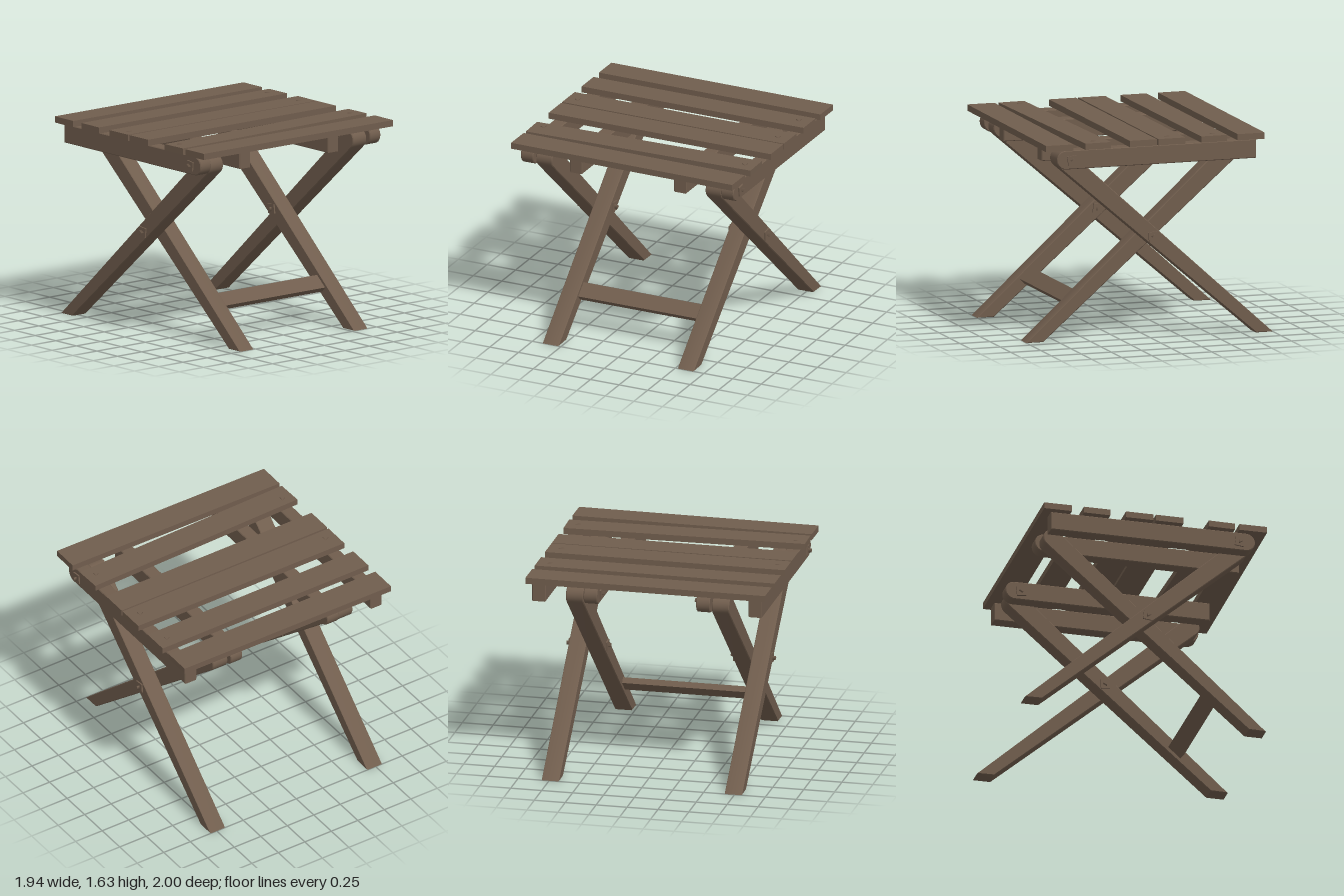
import * as THREE from 'three';
import { toCreasedNormals } from 'three/addons/utils/BufferGeometryUtils.js';

const wood = new THREE.MeshStandardMaterial({ color: 0x705d4d });
wood.name = 'brown wood';

function add(parent, geometry, name, x = 0, y = 0, z = 0) {
  const mesh = new THREE.Mesh(geometry, wood);
  mesh.name = name;
  mesh.position.set(x, y, z);
  parent.add(mesh);
  return mesh;
}

// Extrudes a side profile (z, y) across x, centred on x = 0, with eased edges
function beam(shape, width, ease = 0.006) {
  const geo = new THREE.ExtrudeGeometry(shape, {
    depth: width - 2 * ease, curveSegments: 8,
    bevelSize: ease, bevelOffset: -ease, bevelThickness: ease, bevelSegments: 1,
  });
  geo.translate(0, 0, -width / 2 + ease);
  geo.rotateY(-Math.PI / 2);
  return toCreasedNormals(geo, 0.6);
}

// Tapered leg: foot at the back, cut level, rounded at the top front pivot
function legProfile() {
  const s = new THREE.Shape();
  s.moveTo(-1, 0);
  s.lineTo(-0.86, 0);
  s.absarc(0.735, 1.475, 0.075, -0.85, 2.29, false);
  s.closePath();
  return s;
}

// Seat rail: square at the back, round at the front pivot
function railProfile() {
  const s = new THREE.Shape();
  s.moveTo(-0.82, 1.42);
  s.lineTo(0.765, 1.42);
  s.absarc(0.765, 1.495, 0.075, -Math.PI / 2, Math.PI / 2, false);
  s.lineTo(-0.82, 1.57);
  s.closePath();
  return s;
}

// Square washer with a three-sided bolt tip; dir is the way it points along x
function bolt(parent, x, y, z, dir) {
  const g = new THREE.Group();
  g.name = 'bolt';
  g.position.set(x, y, z);
  const washer = add(g, new THREE.BoxGeometry(0.012, 0.075, 0.075), 'washer', dir * 0.006);
  washer.rotation.x = 0.12;
  const tip = new THREE.CylinderGeometry(0.02, 0.02, 0.032, 3);
  tip.rotateZ(Math.PI / 2);
  add(g, tip, 'boltTip', dir * 0.02);
  parent.add(g);
}

// A pair of legs and the pair of rails they hinge on
function frame(name, legX, railX, outward) {
  const g = new THREE.Group();
  g.name = name;
  const legGeo = beam(legProfile(), 0.14);
  const railGeo = beam(railProfile(), 0.11);
  for (const side of [-1, 1]) {
    const dir = side * outward;
    add(g, legGeo, 'leg', side * legX);
    add(g, railGeo, 'rail', side * railX);
    bolt(g, side * railX + dir * 0.055, 1.49, 0.715, dir);
    bolt(g, side * legX + dir * 0.07, 0.82, 0, dir);
    // Hinge pin between leg and rail
    const pin = new THREE.CylinderGeometry(0.02, 0.02, 0.12, 8);
    pin.rotateZ(Math.PI / 2);
    add(g, pin, 'hingePin', side * (legX + railX) / 2, 1.49, 0.715);
  }
  return g;
}

export function createModel() {
  const model = new THREE.Group();
  model.name = 'foldingStool';

  // Outer frame, and inner frame turned to cross it
  model.add(frame('outerFrame', 0.74, 0.875, 1));
  const inner = frame('innerFrame', 0.59, 0.455, -1);
  inner.rotation.y = Math.PI;
  model.add(inner);

  // Pins where the legs cross
  for (const side of [-1, 1]) {
    const pin = new THREE.CylinderGeometry(0.02, 0.02, 0.2, 8);
    pin.rotateZ(Math.PI / 2);
    add(model, pin, 'crossingPin', side * 0.665, 0.82, 0);
  }

  // Stretcher between the inner legs, lying along their slope
  const stretcher = add(model, new THREE.BoxGeometry(1.04, 0.05, 0.13), 'stretcher', 0, 0.315, 0.58);
  stretcher.rotation.x = 0.72;

  // Seat slats: centre z, depth, twist about y
  const slats = [
    [-0.768, 0.225, -0.005],
    [-0.455, 0.215, 0],
    [-0.105, 0.225, -0.003],
    [0.135, 0.225, 0],
    [0.535, 0.215, 0.026],
    [0.823, 0.225, -0.009],
  ];
  for (const [z, depth, twist] of slats) {
    const slat = add(model, new THREE.BoxGeometry(1.94, 0.05, depth), 'seatSlat', 0, 1.601, z);
    slat.rotation.y = twist;
  }

  // Three-sided screw heads on the slats
  const screw = new THREE.CylinderGeometry(0.024, 0.028, 0.008, 3);
  screw.rotateY(-Math.PI / 2);
  for (const [x, z] of [[0.87, -0.47], [-0.88, -0.09], [0.87, -0.09], [-0.88, 0.525], [0.88, 0.525]]) {
    add(model, screw, 'screwHead', x, 1.628, z);
  }
  return model;
}
